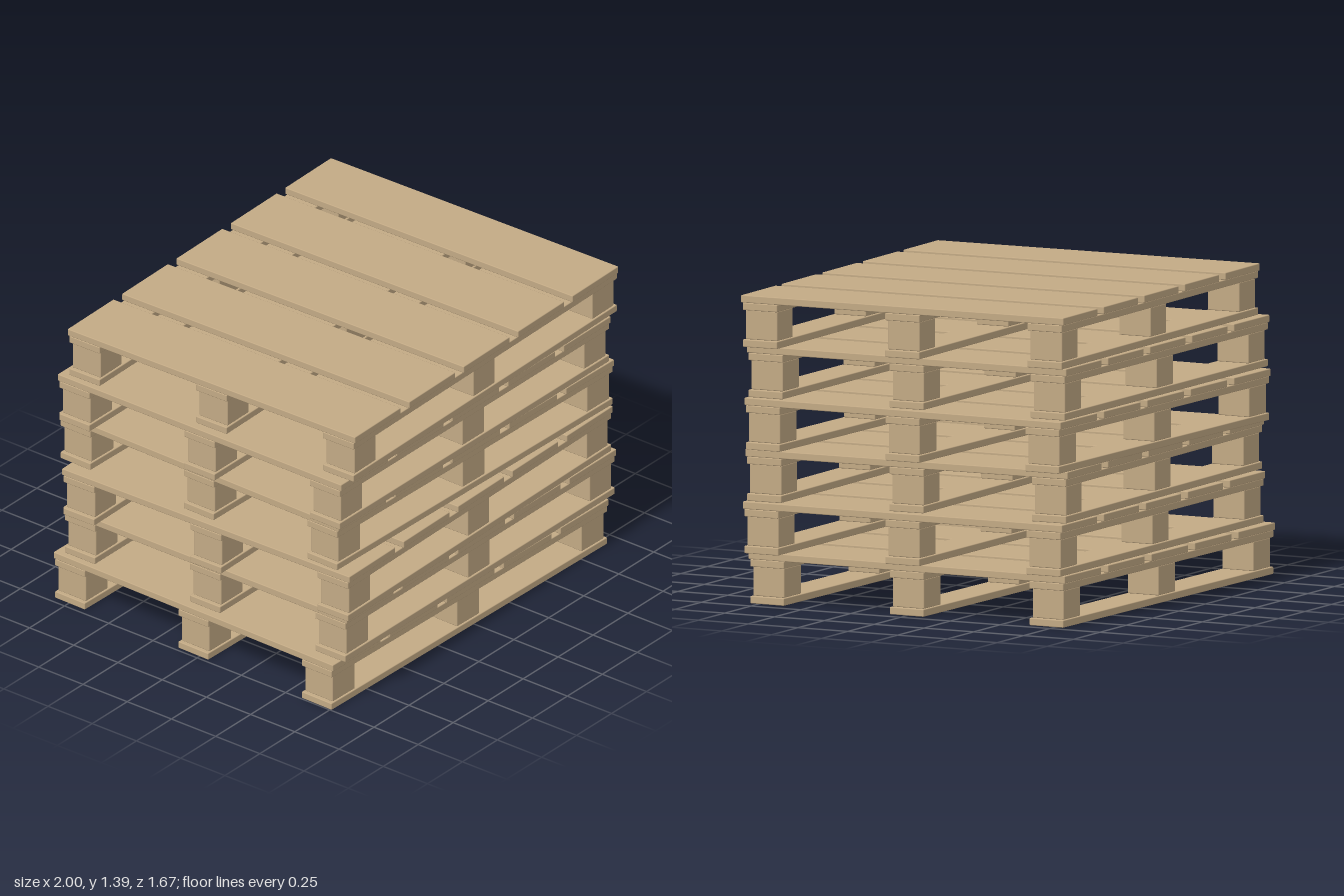
import * as THREE from 'three';
import { RoundedBoxGeometry } from 'three/addons/geometries/RoundedBoxGeometry.js';

const LENGTH = 1.928, DEPTH = 1.604;   // pallet footprint
const BOARD = 0.0333, BLOCK = 0.1317;  // board thickness, block height
const HEIGHT = 3 * BOARD + BLOCK;      // one pallet

const wood = new THREE.MeshStandardMaterial({ color: 0xc3aa85 });
const plank = (w, h, d) => new RoundedBoxGeometry(w, h, d, 1, 0.004);
const runnerGeo = plank(LENGTH, BOARD, 0.172);
const blockGeo = plank(0.155, BLOCK, 0.158);
const deckGeo = plank(0.336, BOARD, DEPTH);

function add(group, name, geometry, x, y, z) {
  const mesh = new THREE.Mesh(geometry, wood);
  mesh.name = name;
  mesh.position.set(x, y, z);
  group.add(mesh);
}

function createPallet() {
  const pallet = new THREE.Group();
  // three rows of bottom runner, blocks and stringer
  for (const z of [-0.708, 0, 0.708]) {
    add(pallet, 'bottomRunner', runnerGeo, 0, BOARD / 2, z);
    for (const x of [-0.87, 0, 0.87]) add(pallet, 'block', blockGeo, x, BOARD + BLOCK / 2, z);
    add(pallet, 'stringer', runnerGeo, 0, BOARD * 1.5 + BLOCK, z);
  }
  // five deck boards across the top
  for (let i = -2; i <= 2; i++) add(pallet, 'deckBoard', deckGeo, i * 0.398, BOARD * 2.5 + BLOCK, 0);
  return pallet;
}

export function createModel() {
  const stack = new THREE.Group();
  stack.name = 'palletStack';
  // slight shift in x, z and turn of each pallet, from the bottom up
  const offsets = [
    [-0.02, -0.018, -0.018],
    [0.02, 0, 0],
    [-0.02, 0.018, 0.018],
    [0.02, -0.018, -0.018],
    [-0.02, 0, 0],
    [0.02, 0.018, 0.018],
  ];
  offsets.forEach(([x, z, turn], i) => {
    const pallet = createPallet();
    pallet.name = `pallet${i + 1}`;
    pallet.position.set(x, i * HEIGHT, z);
    pallet.rotation.y = turn;
    stack.add(pallet);
  });
  return stack;
}
